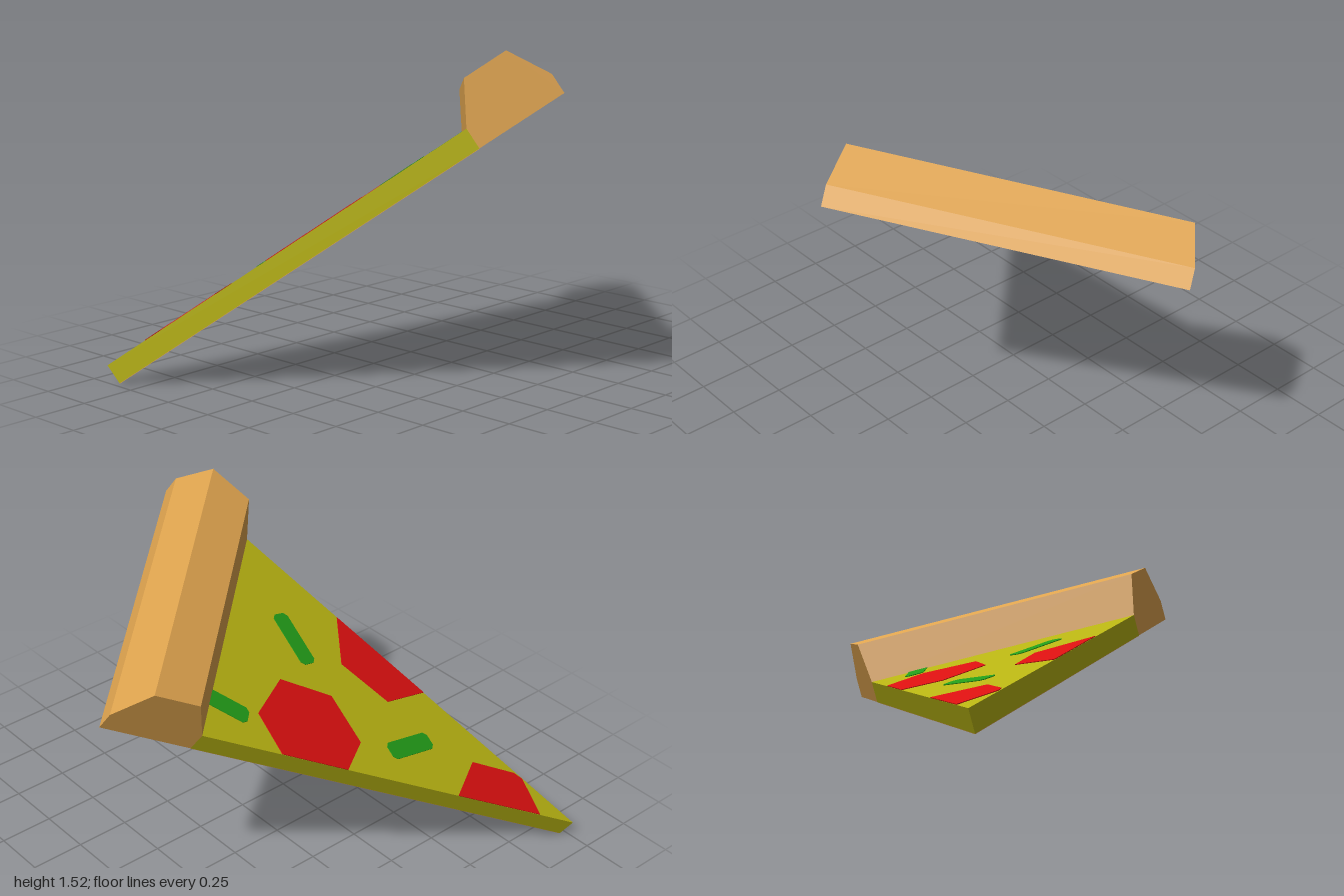
import * as THREE from 'three';

const LENGTH = 2.26;      // crust back to tip
const HALF = 0.749;       // half width at the back
const THICK = 0.095;      // slab thickness
const CRUST = 0.397;      // crust depth

const mat = (name, color) => {
  const m = new THREE.MeshStandardMaterial({ color });
  m.name = name;
  return m;
};

// Side profile of (z, y) points, extruded sideways and tapered towards the tip
function wedge(profile) {
  const shape = new THREE.Shape(profile.map(([z, y]) => new THREE.Vector2(z, y)));
  const geo = new THREE.ExtrudeGeometry(shape, { depth: 2, bevelEnabled: false });
  geo.translate(0, 0, -1).rotateY(-Math.PI / 2);
  const p = geo.attributes.position;
  for (let i = 0; i < p.count; i++) {
    p.setX(i, p.getX(i) * HALF * (LENGTH - p.getZ(i)) / LENGTH);
  }
  geo.computeVertexNormals();
  return geo;
}

// Thin plate lying on the cheese, outlined by (x, z) points
function plate(points, depth) {
  const shape = new THREE.Shape(points.map(([x, z]) => new THREE.Vector2(x, -z)));
  const geo = new THREE.ExtrudeGeometry(shape, { depth, bevelEnabled: false });
  return geo.rotateX(-Math.PI / 2).translate(0, THICK, 0);
}

export function createModel() {
  const crustMat = mat('baked crust', 0xdea34e);
  const cheeseMat = mat('cheese', 0xb6b212);
  const redMat = mat('salami red', 0xd91010);
  const greenMat = mat('pepper green', 0x229a18);

  const slice = new THREE.Group();
  slice.name = 'slice';
  const add = (name, geo, material) => {
    const mesh = new THREE.Mesh(geo, material);
    mesh.name = name;
    slice.add(mesh);
    return mesh;
  };

  // Raised crust
  add('crust', wedge([[0, 0], [CRUST, 0], [CRUST, THICK], [0.295, 0.27], [0.098, 0.268], [0, 0.09]]), crustMat);

  // Cheese slab, with a baked underside
  add('cheeseSlab', wedge([[CRUST, 0], [LENGTH, 0], [LENGTH, THICK], [CRUST, THICK]]), cheeseMat);
  const w = HALF * (LENGTH - CRUST) / LENGTH;
  const base = plate([[-w, CRUST], [w, CRUST], [0, LENGTH]], 0.002);
  add('bakedBase', base.translate(0, -THICK - 0.002, 0), crustMat);

  // Salami pieces, cut off at the slice edges
  [
    [[-0.495, 0.763], [-0.346, 0.619], [-0.098, 0.688], [-0.036, 0.942], [-0.207, 1.117], [-0.392, 1.077]],
    [[0.183, 0.966], [0.446, 0.905], [0.285, 1.399], [0.112, 1.224]],
    [[-0.207, 1.636], [0.03, 1.693], [0.1, 1.917], [0.093, 1.965], [-0.06, 2.074]],
  ].forEach((points) => add('salami', plate(points, 0.003), redMat));

  // Pepper strips with clipped corners: x, z, direction angle
  [
    [-0.396, 0.443, Math.PI / 2],
    [0.176, 0.716, -Math.PI / 4],
    [-0.073, 1.363, Math.PI / 4],
  ].forEach(([x, z, angle]) => {
    const l = 0.135, h = 0.043, c = 0.018;
    const outline = [[l, h - c], [l - c, h], [c - l, h], [-l, h - c], [-l, c - h], [c - l, -h], [l - c, -h], [l, c - h]];
    const cos = Math.cos(angle), sin = Math.sin(angle);
    add('pepperStrip', plate(outline.map(([a, b]) => [x + a * cos - b * sin, z + a * sin + b * cos]), 0.003), greenMat);
  });

  // Tilt the slice so that it stands on its tip
  const right = new THREE.Vector3(0.89, 1.36, 0.1);
  const left = new THREE.Vector3(-0.09, 1.09, -1);
  const tip = new THREE.Vector3(-0.85, 0.003, 0.98);
  const middle = right.clone().add(left).multiplyScalar(0.5);
  const xAxis = right.clone().sub(left).normalize();
  const yAxis = tip.clone().sub(middle).cross(xAxis).normalize();
  const zAxis = xAxis.clone().cross(yAxis);
  slice.applyMatrix4(new THREE.Matrix4().makeBasis(xAxis, yAxis, zAxis).setPosition(middle));

  const model = new THREE.Group();
  model.name = 'pizzaSlice';
  model.add(slice);
  return model;
}
